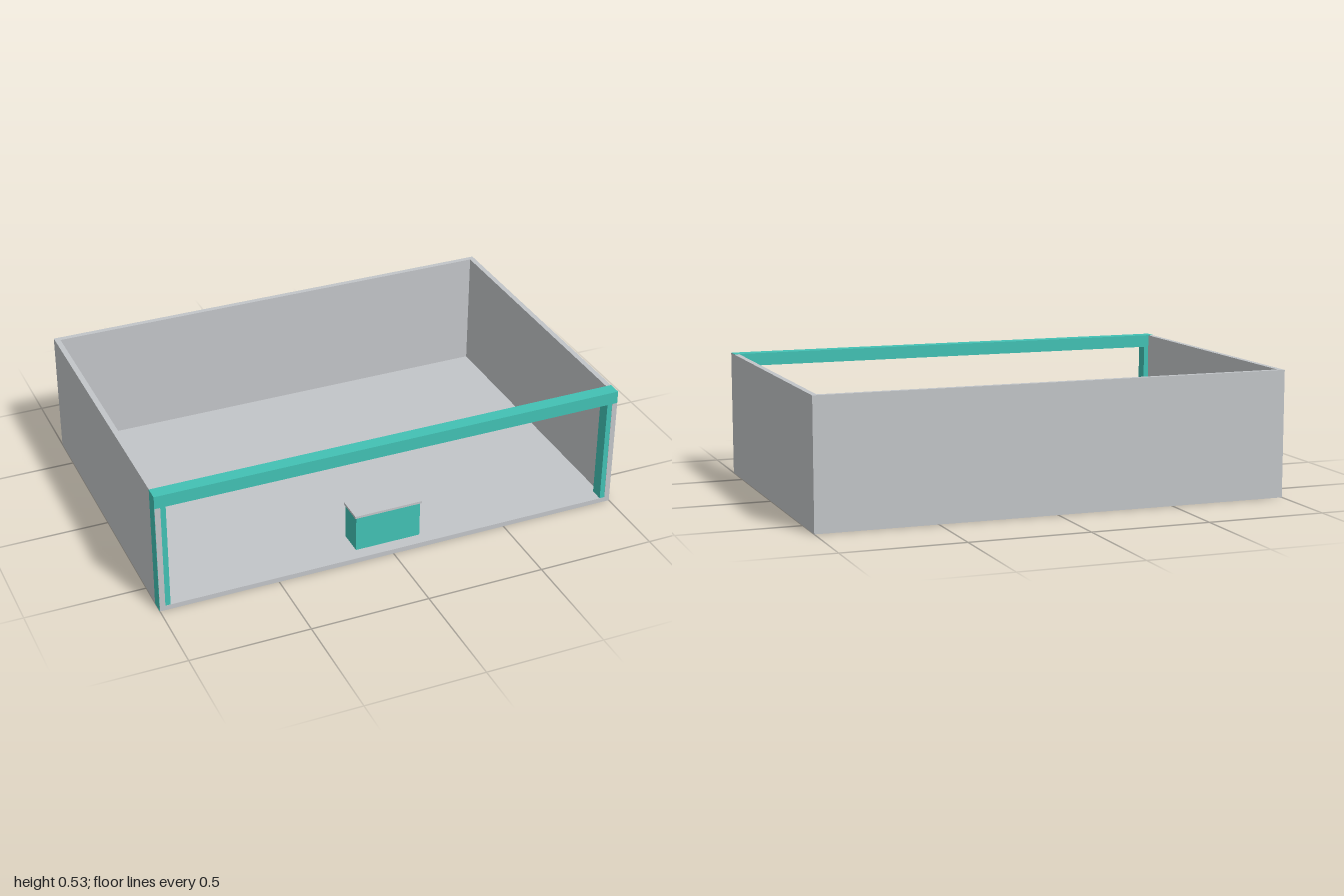
import * as THREE from 'three';

const grey = new THREE.MeshStandardMaterial({ color: 0xc2c5c8 });
grey.name = 'light grey';
const teal = new THREE.MeshStandardMaterial({ color: 0x42c1b4 });
teal.name = 'teal';

// Box given by its opposite corners
function box(name, material, [x0, y0, z0], [x1, y1, z1]) {
  const mesh = new THREE.Mesh(new THREE.BoxGeometry(x1 - x0, y1 - y0, z1 - z0), material);
  mesh.position.set((x0 + x1) / 2, (y0 + y1) / 2, (z0 + z1) / 2);
  mesh.name = name;
  return mesh;
}

export function createModel() {
  const model = new THREE.Group();
  model.name = 'openFrontRoom';
  const H = 0.533, D = 0.667, T = 0.023, e = 0.001;

  // Shell: floor, back wall and two side walls, open at the front and top
  model.add(
    box('floor', grey, [-1 + T, 0, -D + T], [1 - T, 0.021, D]),
    box('backWall', grey, [-1, 0, -D], [1, H, -D + T]),
    box('rightWall', grey, [-1, 0, -D + T], [-1 + T, H, D]),
    box('leftWall', grey, [1 - T, 0, -D + T], [1, H, D])
  );

  // Front frame: lintel and posts, a hair proud of the shell where they show
  model.add(
    box('lintel', teal, [-1 - e, 0.48, 0.61], [1 - e, H + e, D + e]),
    box('rightPost', teal, [-1 - e, e, 0.61], [-0.955, 0.5, D - e]),
    box('leftPost', teal, [0.955, e, 0.61], [1 - e, 0.5, D - e])
  );

  // Counter with an overhanging top
  const counter = new THREE.Group();
  counter.name = 'counter';
  counter.add(
    box('counterBody', teal, [-0.143, 0.01, 0.505], [0.14, 0.178, 0.612]),
    box('counterTop', grey, [-0.149, 0.177, 0.5], [0.145, 0.187, 0.617])
  );
  model.add(counter);
  return model;
}
